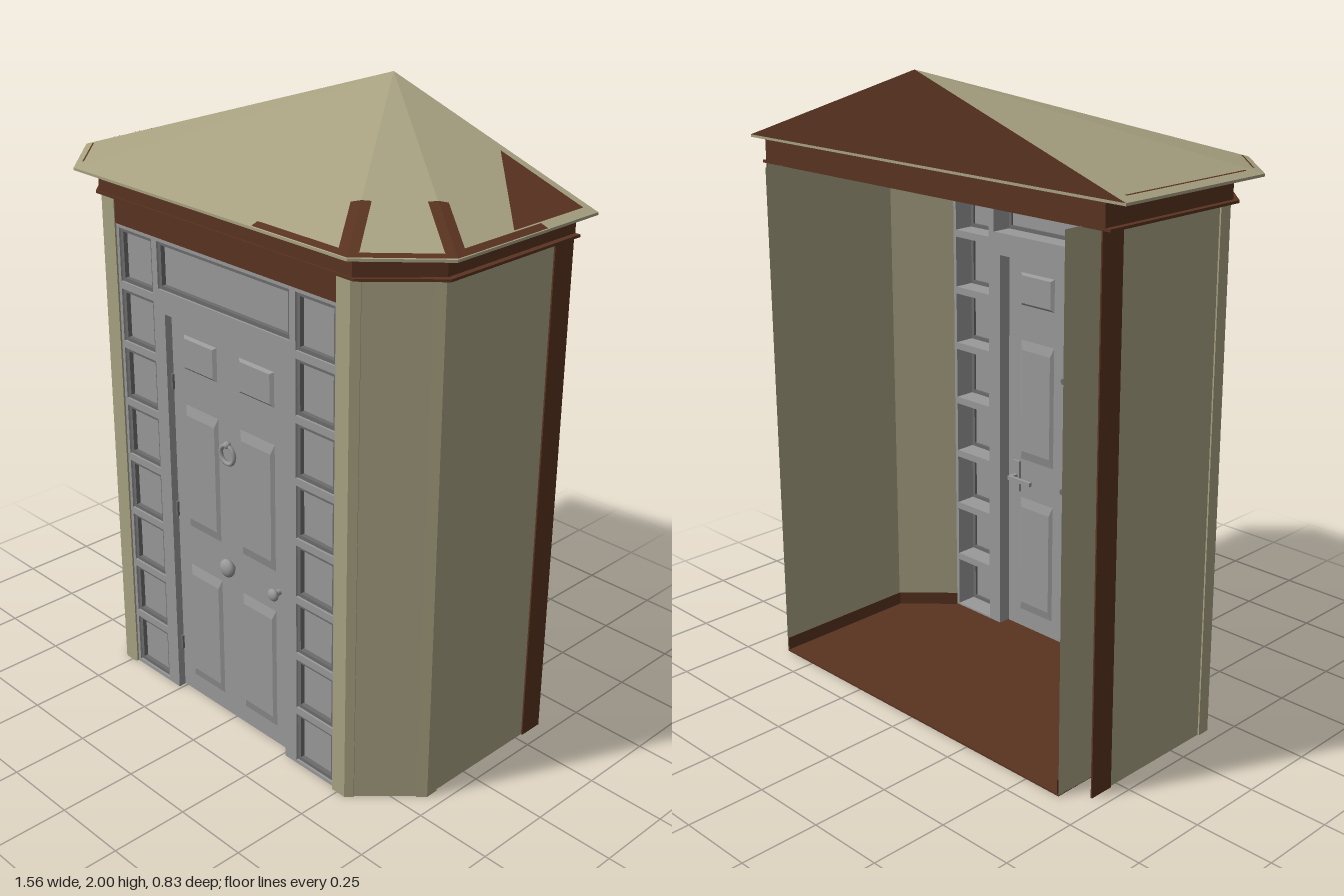
import * as THREE from 'three';

const mat = (name, color, side = THREE.DoubleSide) => {
  const m = new THREE.MeshStandardMaterial({ color, side });
  m.name = name;
  return m;
};

export function createModel() {
  const khaki = mat('khaki', 0xa8a282), brown = mat('brown', 0x5a3320);
  const grey = mat('grey', 0x999999), darkGrey = mat('darkGrey', 0x6c6c6c);
  const root = new THREE.Group();
  root.name = 'porch';

  const add = (name, geo, material, parent = root) => {
    const m = new THREE.Mesh(geo, material);
    m.name = name;
    parent.add(m);
    return m;
  };
  // box given by its limits
  const box = (name, x0, x1, y0, y1, z0, z1, material, parent) =>
    add(name, new THREE.BoxGeometry(x1 - x0, y1 - y0, z1 - z0)
      .translate((x0 + x1) / 2, (y0 + y1) / 2, (z0 + z1) / 2), material, parent);
  // flat-shaded faces from a list of triangles
  const faces = (tris) => {
    const g = new THREE.BufferGeometry();
    g.setAttribute('position', new THREE.Float32BufferAttribute(tris.flat(2), 3));
    g.computeVertexNormals();
    return g;
  };
  // upright sheet following a plan path of [x, z]
  const ribbon = (path, y0, y1) => {
    const tris = [];
    for (let i = 0; i + 1 < path.length; i++) {
      const [ax, az] = path[i], [bx, bz] = path[i + 1];
      tris.push([[ax, y0, az], [ax, y1, az], [bx, y1, bz]], [[ax, y0, az], [bx, y1, bz], [bx, y0, bz]]);
    }
    return faces(tris);
  };
  const mirrored = (half) => [...half, ...half.map(([x, z]) => [-x, z]).reverse()];
  // horizontal slab from a symmetrical plan outline
  const slab = (half, y0, y1) => {
    const shape = new THREE.Shape(mirrored(half).map(([x, z]) => new THREE.Vector2(x, -z)));
    return new THREE.ExtrudeGeometry(shape, { depth: y1 - y0, bevelEnabled: false })
      .rotateX(-Math.PI / 2).translate(0, y0, 0);
  };
  const flip = (path, s) => path.map(([x, z]) => [x * s, z]);

  // floor, frieze and ceiling
  add('floor', slab([[0.63, -0.42], [0.63, 0.085], [0.48, 0.23], [0.48, 0.3]], 0, 0.006), brown);
  add('frieze', slab([[0.71, -0.357], [0.71, 0.175], [0.54, 0.355]], 1.655, 1.728), brown);
  add('friezeLip', slab([[0.728, -0.357], [0.728, 0.18], [0.55, 0.36]], 1.652, 1.66), brown);
  box('lintel', -0.48, 0.48, 1.57, 1.655, 0.23, 0.345, brown);

  // double-skinned side walls with canted corners
  for (const s of [1, -1]) {
    const wall = new THREE.Group();
    wall.name = s > 0 ? 'leftWall' : 'rightWall';
    root.add(wall);
    add('wallSkin', ribbon(flip([[0.7, -0.36], [0.7, 0.17], [0.53, 0.348], [0.48, 0.348],
      [0.48, 0.23], [0.63, 0.085], [0.63, -0.42]], s), 0, 1.655), khaki, wall);
    add('sideCornerTrim', ribbon(flip([[0.7, 0.13], [0.705, 0.13], [0.705, 0.172], [0.682, 0.196],
      [0.679, 0.192]], s), 0, 1.655), khaki, wall);
    add('frontCornerTrim', ribbon(flip([[0.549, 0.328], [0.552, 0.333], [0.532, 0.353], [0.48, 0.353]], s),
      0, 1.655), khaki, wall);
    add('rearStrip', ribbon(flip([[0.7, -0.278], [0.705, -0.278], [0.705, -0.36], [0.7, -0.36]], s),
      0, 1.655), brown, wall);
    add('skirting', ribbon(flip([[0.624, -0.42], [0.624, 0.083], [0.475, 0.226]], s), 0, 0.05), brown, wall);
  }

  // half-pyramid roof
  const eaveHalf = [[0.78, -0.36], [0.78, 0.22], [0.58, 0.415]];
  const eave = mirrored(eaveHalf), apex = [0, 2, -0.36], eaveY = 1.735;
  const slopes = [];
  for (let i = 0; i + 1 < eave.length; i++) {
    const [a, b] = [eave[i], eave[i + 1]];
    slopes.push([apex, [b[0], eaveY, b[1]], [a[0], eaveY, a[1]]]);
  }
  add('roof', faces(slopes), khaki);
  add('eaveEdge', ribbon([...eave, eave[0]], 1.727, eaveY), khaki);
  add('soffit', slab(eaveHalf.map(([x, z]) => [x * 0.995, z * 0.995]), 1.727, 1.729), brown);
  add('gableBack', faces([[[-0.78, eaveY, -0.36], apex, [0.78, eaveY, -0.36]]]), brown);

  // thin plates lying on the slopes
  const roofY = (x, z) => {
    const ax = Math.abs(x), d = z + 0.36;
    return 2.003 - 0.265 * Math.max(ax / 0.78, d / 0.775, 0.727 * ax + 0.746 * d);
  };
  const patch = (name, pts) => {
    const p = pts.map(([x, z]) => [x, roofY(x, z), z]);
    const up = [];
    for (let i = 1; i + 1 < p.length; i++) up.push([p[0], p[i + 1], p[i]]);
    add(name, faces(up), brown);
  };
  patch('roofPatch', [[0.45, -0.33], [0.75, -0.33], [0.75, -0.035]]);
  patch('sideEavePatch', [[0.755, -0.14], [0.78, -0.14], [0.78, 0.22], [0.755, 0.2]]);
  patch('cornerEavePatch', [[0.78, 0.22], [0.58, 0.415], [0.57, 0.395], [0.76, 0.21]]);
  patch('frontEavePatch', [[0.58, 0.415], [0.22, 0.415], [0.22, 0.392], [0.565, 0.392]]);
  for (const [hx, hz] of [eaveHalf[1], eaveHalf[2]]) {
    const l = Math.hypot(hx, hz + 0.36), nx = (hz + 0.36) / l * 0.028, nz = -hx / l * 0.028;
    const at = (t, k) => [hx * t + nx * k, (hz + 0.36) * t - 0.36 + nz * k];
    patch('hipPatch', [at(0.73, 1), at(0.97, 1), at(1, 0), at(0.73, 0)]);
    patch('hipPatch', [at(0.73, 0), at(1, 0), at(0.97, -1), at(0.73, -1)]);
  }
  patch('sideSeam', [[-0.755, -0.33], [-0.75, -0.33], [-0.75, 0.17], [-0.755, 0.17]]);
  patch('cornerSeam', [[-0.74, 0.226], [-0.736, 0.222], [-0.585, 0.372], [-0.589, 0.376]]);

  // framed window: outer bars, dark beading and recessed pane
  const rectPath = (P, x0, x1, y0, y1) =>
    new P().moveTo(x0, y0).lineTo(x1, y0).lineTo(x1, y1).lineTo(x0, y1).closePath();
  const frame = (x0, x1, y0, y1, w, z0, z1) => {
    const s = rectPath(THREE.Shape, x0, x1, y0, y1) && new THREE.Shape([[x0, y0], [x1, y0], [x1, y1], [x0, y1]]
      .map(([x, y]) => new THREE.Vector2(x, y)));
    s.holes.push(new THREE.Path([[x0 + w, y0 + w], [x0 + w, y1 - w], [x1 - w, y1 - w], [x1 - w, y0 + w]]
      .map(([x, y]) => new THREE.Vector2(x, y))));
    return new THREE.ExtrudeGeometry(s, { depth: z1 - z0, bevelEnabled: false }).translate(0, 0, z0);
  };
  const light = (name, x0, x1, y0, y1) => {
    const g = new THREE.Group();
    g.name = name;
    root.add(g);
    add('frame', frame(x0, x1, y0, y1, 0.012, 0.23, 0.342), grey, g);
    add('beading', frame(x0 + 0.01, x1 - 0.01, y0 + 0.01, y1 - 0.01, 0.014, 0.3, 0.335), darkGrey, g);
    box('pane', x0 + 0.01, x1 - 0.01, y0 + 0.01, y1 - 0.01, 0.308, 0.32, grey, g);
  };
  const rows = 8, pitch = 1.57 / rows;
  for (const x0 of [-0.48, 0.3])
    for (let i = 0; i < rows; i++) light('sidelight', x0, x0 + 0.18, i * pitch, (i + 1) * pitch);
  light('transom', -0.3, 0.3, 1.395, 1.57);

  // door frame
  for (const s of [1, -1]) box('doorJamb', s * 0.28 - 0.02, s * 0.28 + 0.02, 0, 1.395, 0.23, 0.342, grey);
  box('doorHead', -0.26, 0.26, 1.333, 1.395, 0.23, 0.342, grey);
  box('doorGap', -0.26, 0.26, 0.004, 1.333, 0.28, 0.31, darkGrey);

  // door leaf with raised panels on both faces
  const door = new THREE.Group();
  door.name = 'door';
  root.add(door);
  box('leaf', -0.256, 0.256, 0.006, 1.327, 0.27, 0.32, grey, door);
  for (const [y0, y1] of [[0.07, 0.49], [0.63, 1.05], [1.17, 1.28]])
    for (const x of [-0.125, 0.125])
      for (const face of [1, -1]) {
        const geo = new THREE.CylinderGeometry(0.6, Math.SQRT1_2, 1, 4, 1).rotateY(Math.PI / 4)
          .rotateX(face * Math.PI / 2).scale(0.15, y1 - y0, 0.008).toNonIndexed();
        geo.computeVertexNormals();
        add('doorPanel', geo, grey, door).position.set(x, (y0 + y1) / 2, face > 0 ? 0.324 : 0.266);
      }
  for (const y of [0.17, 0.67, 1.11]) box('hinge', -0.262, -0.252, y - 0.025, y + 0.025, 0.315, 0.328, darkGrey, door);

  // door furniture
  add('knocker', new THREE.TorusGeometry(0.03, 0.007, 8, 24).translate(0, 0.952, 0.33), grey, door);
  add('knockerMount', new THREE.SphereGeometry(0.012, 12, 8).translate(0, 0.984, 0.33), grey, door);
  for (const [name, x, r] of [['centreKnob', 0, 0.03], ['latchKnob', 0.215, 0.02]]) {
    add(name, new THREE.SphereGeometry(r, 20, 14).scale(1, 1, 0.6).translate(x, 0.565, 0.358 - r * 0.6), grey, door);
    add('knobStem', new THREE.CylinderGeometry(r / 2, r / 2, 0.03, 14).rotateX(Math.PI / 2)
      .translate(x, 0.565, 0.325), grey, door);
  }
  for (const y of [0.565, 0.95])
    add('boltCap', new THREE.CylinderGeometry(0.01, 0.01, 0.012, 12).rotateX(Math.PI / 2).translate(0, y, 0.265), darkGrey, door);
  box('innerHandlePlate', 0.2, 0.23, 0.51, 0.62, 0.262, 0.272, grey, door);
  box('innerHandleStem', 0.208, 0.222, 0.558, 0.572, 0.235, 0.265, grey, door);
  box('innerHandleLever', 0.12, 0.222, 0.558, 0.572, 0.228, 0.24, grey, door);

  return root;
}
